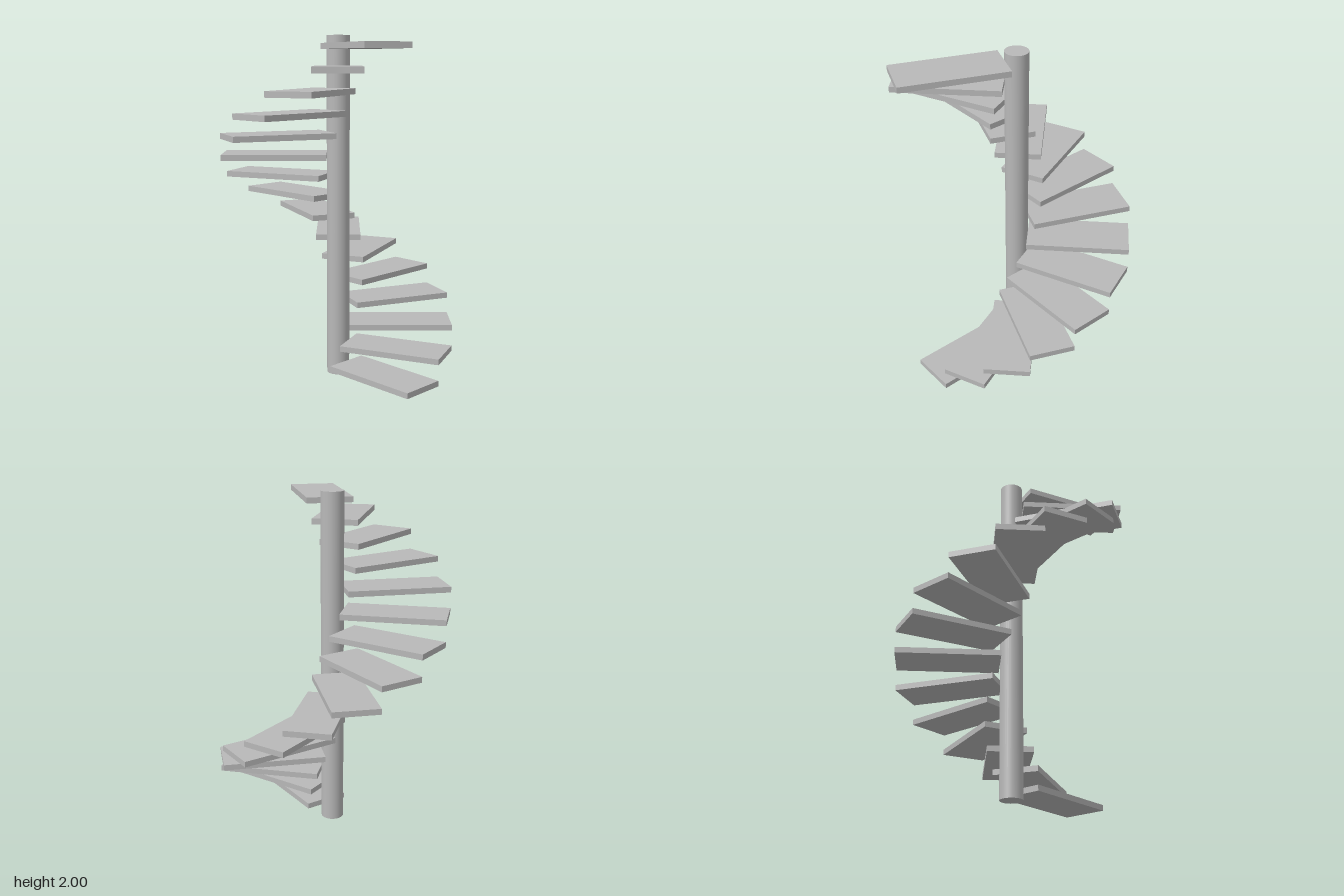
import * as THREE from 'three';

export function createModel() {
  const model = new THREE.Group();
  model.name = 'spiralStaircase';
  const gray = new THREE.MeshStandardMaterial({ color: 0xb8b8b8 });
  gray.name = 'plain gray';

  const height = 2, radius = 0.0667, stepCount = 16;
  const rise = height / stepCount;

  // Central post
  const post = new THREE.Mesh(new THREE.CylinderGeometry(radius, radius, height, 32), gray);
  post.name = 'centralPost';
  post.position.y = height / 2;
  model.add(post);

  // Treads winding once around the post, touching it at their inner edge
  const length = 0.6;
  const treadGeometry = new THREE.BoxGeometry(length, 0.0333, 0.2667);
  treadGeometry.translate(radius + length / 2, 0, 0);
  for (let i = 0; i < stepCount; i++) {
    const tread = new THREE.Mesh(treadGeometry, gray);
    tread.name = `tread${i + 1}`;
    tread.position.y = rise * (i + 0.5);
    tread.rotation.y = (i / stepCount) * Math.PI * 2;
    model.add(tread);
  }
  return model;
}
